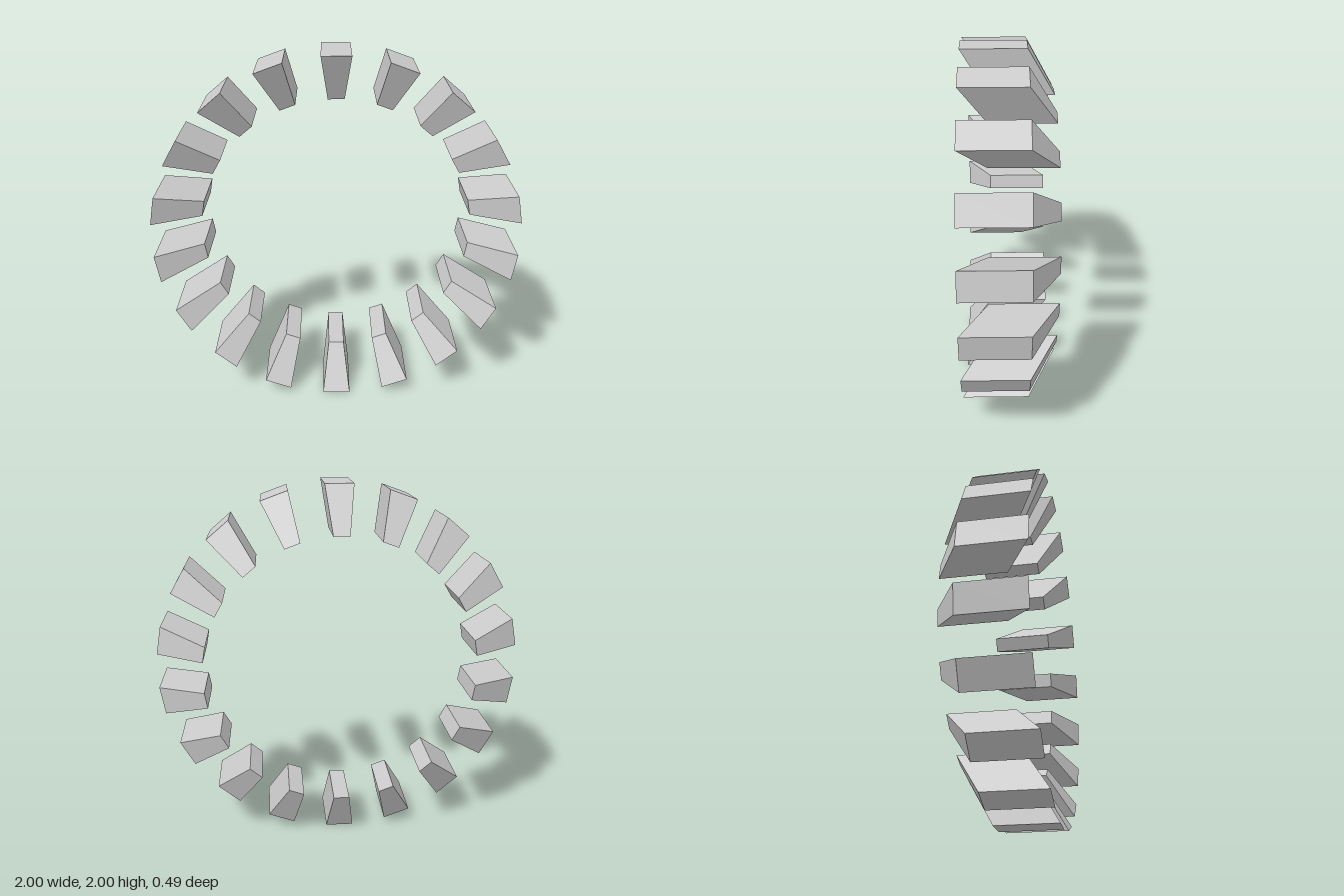
import * as THREE from 'three';

const COUNT = 18;
const OUTER = { radius: 1, halfWidth: 0.078, front: 0.247, back: -0.102 };
const INNER = { radius: 0.745, halfWidth: 0.044, front: 0.102, back: -0.247 };

// One tapered, backward-slanting block at the top of the ring
function blockGeometry() {
  const geometry = new THREE.BoxGeometry(2, 2, 2);
  const pos = geometry.attributes.position;
  for (let i = 0; i < pos.count; i++) {
    const end = pos.getY(i) > 0 ? OUTER : INNER;
    pos.setXYZ(i, pos.getX(i) * end.halfWidth, end.radius, pos.getZ(i) > 0 ? end.front : end.back);
  }
  geometry.computeVertexNormals();
  return geometry;
}

export function createModel() {
  const model = new THREE.Group();
  model.name = 'blockRing';
  const geometry = blockGeometry();
  const material = new THREE.MeshStandardMaterial({ color: 0xcccccc, flatShading: true });

  // Blocks evenly spaced around the ring centre
  for (let i = 0; i < COUNT; i++) {
    const block = new THREE.Mesh(geometry, material);
    block.name = `ringBlock${i + 1}`;
    block.position.y = 1;
    block.rotation.z = (i / COUNT) * Math.PI * 2;
    model.add(block);
  }
  return model;
}
